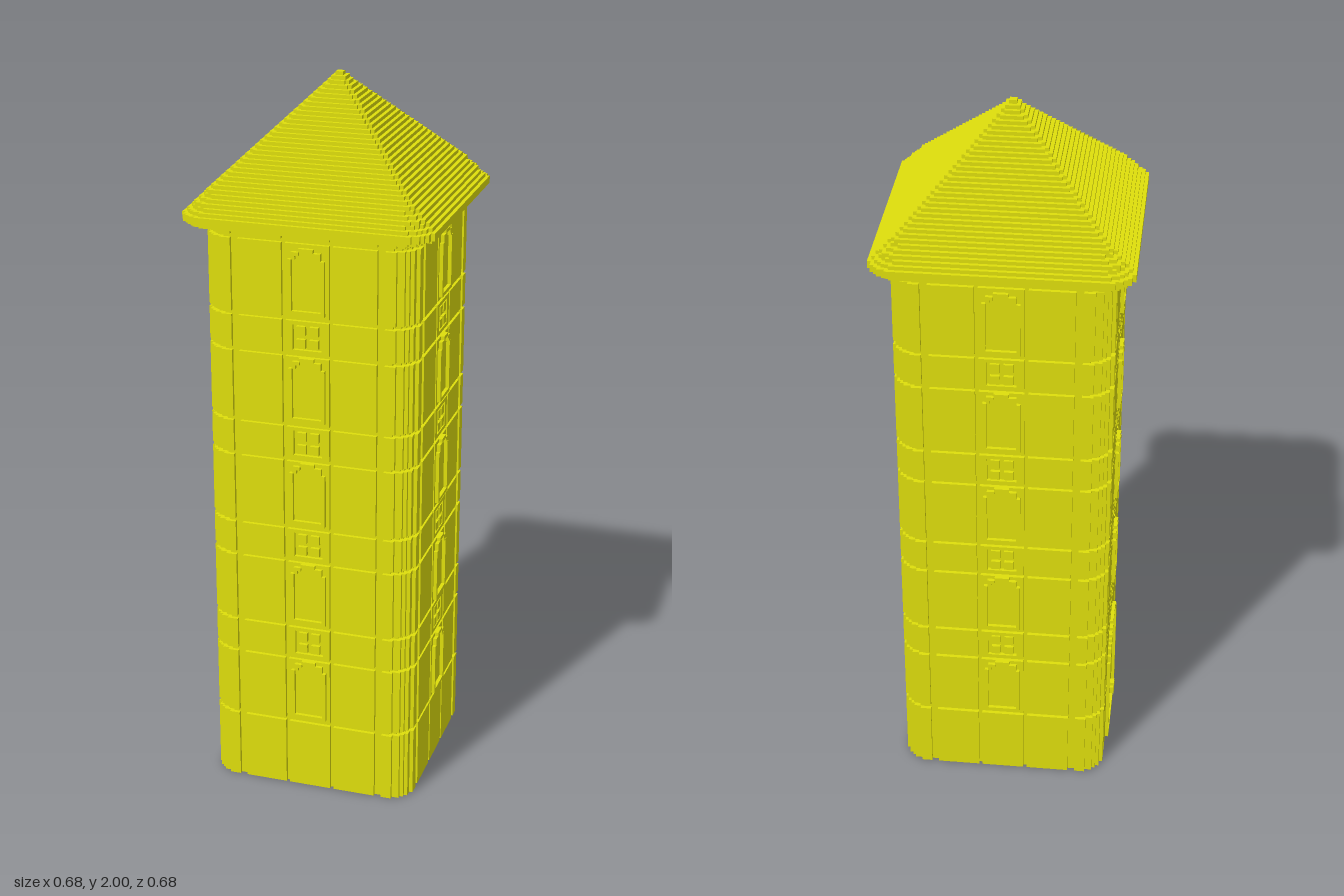
import * as THREE from 'three';

const U = 0.01; // block size
const ROUND = [5, 3, 2, 1, 1]; // stepped round corner, in blocks
const material = new THREE.MeshStandardMaterial({ color: 0xdede0c });

function addMesh(parent, name, geometry) {
  const mesh = new THREE.Mesh(geometry, material);
  mesh.name = name;
  parent.add(mesh);
  return mesh;
}

// Square plan with stepped corners and shallow notches along each side
function plan(h, corner, notches = []) {
  const side = [];
  corner.forEach((c, i) => {
    side.push([h - i * U, h - c * U], [h - (i + 1) * U, h - c * U]);
  });
  side.push([h - corner.length * U, h]);
  for (const [b, a] of notches) side.push([b, h], [b, h - U], [a, h - U], [a, h]);
  const points = [];
  for (let k = 0; k < 4; k++) {
    for (let [x, y] of side) {
      for (let r = 0; r < k; r++) [x, y] = [-y, x];
      points.push(new THREE.Vector2(x, y));
    }
  }
  return new THREE.Shape(points);
}

function slab(shape, y0, y1) {
  const g = new THREE.ExtrudeGeometry(shape, { depth: y1 - y0, bevelEnabled: false });
  return g.rotateX(-Math.PI / 2).translate(0, y0, 0);
}

// Stepped round arch, n blocks to each side of its middle
function archPoints(n, y0, top) {
  const right = [[n * U, y0]];
  const spring = top - n * U;
  let half = n;
  for (let j = 0; j < n; j++) {
    const next = Math.round(Math.sqrt(n * n - (j + 0.5) ** 2));
    if (next < half) {
      right.push([half * U, spring + j * U], [next * U, spring + j * U]);
      half = next;
    }
  }
  right.push([half * U, top]);
  const left = right.map(([x, y]) => [-x, y]).reverse();
  return [...right, ...left].map(([x, y]) => new THREE.Vector2(x, y));
}

function raised(shape, z0, z1) {
  return new THREE.ExtrudeGeometry(shape, { depth: z1 - z0, bevelEnabled: false }).translate(0, 0, z0);
}

function archFrame(n, y0, top, sill) {
  const shape = new THREE.Shape(archPoints(n, y0, top));
  shape.holes.push(new THREE.Path(archPoints(n - 1, y0 + sill, top - U)));
  return raised(shape, 0.28, 0.30);
}

// Pierced panel holding four small lobes
function addOrnament(parent, y) {
  const rect = (w, a, b) => [[w, a], [w, b], [-w, b], [-w, a]].map((p) => new THREE.Vector2(...p));
  const shape = new THREE.Shape(rect(0.06, y - 0.045, y + 0.045));
  shape.holes.push(new THREE.Path(rect(0.04, y - 0.035, y + 0.035)));
  addMesh(parent, 'ornamentPanel', raised(shape, 0.27, 0.29));
  for (const sx of [-1, 1]) {
    for (const sy of [-1, 1]) {
      addMesh(parent, 'ornamentLobe', new THREE.BoxGeometry(0.025, 0.025, 0.02))
        .position.set(sx * 0.018, y + sy * 0.018, 0.28);
    }
  }
}

export function createModel() {
  const tower = new THREE.Group();
  tower.name = 'tower';

  // Core seen in the bottom of the grooves
  addMesh(tower, 'core', slab(plan(0.28, ROUND), 0, 1.64));

  // Wall courses divided by thin grooves
  const outer = [0.21, 0.19];
  const mirror = ([b, a]) => [-a, -b];
  const tall = [outer, [0.07, 0.06], [-0.06, -0.07], mirror(outer)];
  const short = [outer, [0.07, -0.07], mirror(outer)];
  const breaks = [-U, 0.2, 0.4, 0.5, 0.7, 0.8, 1.0, 1.1, 1.3, 1.4, 1.61];
  for (let i = 0; i < breaks.length - 1; i++) {
    const isShort = i > 1 && i % 2 === 0;
    addMesh(tower, isShort ? 'ornamentCourse' : 'wallCourse',
      slab(plan(0.29, ROUND, isShort ? short : tall), breaks[i] + U, breaks[i + 1]));
  }
  addMesh(tower, 'topCourse', slab(plan(0.29, ROUND, tall), 1.62, 1.64));

  // Windows and ornaments on all four sides, the door on one
  for (let k = 0; k < 4; k++) {
    const face = new THREE.Group();
    face.name = 'face';
    face.rotation.y = k * Math.PI / 2;
    tower.add(face);
    const hasDoor = k === 3;
    for (let s = 0; s < 5; s++) {
      const y = 0.22 + s * 0.3;
      if (!(hasDoor && s === 0)) addMesh(face, 'windowFrame', archFrame(5, y, y + 0.18, U));
      if (s < 4) addOrnament(face, y + 0.235);
    }
    if (hasDoor) {
      addMesh(face, 'doorFrame', archFrame(13, 0, 0.37, U));
      addMesh(face, 'doorLeaf', raised(new THREE.Shape(archPoints(12, 0.01, 0.36)), 0.27, 0.291));
      addMesh(face, 'doorKnob', new THREE.BoxGeometry(0.02, 0.04, 0.03)).position.set(-0.085, 0.16, 0.295);
      addMesh(face, 'doorKnob', new THREE.BoxGeometry(0.04, 0.02, 0.03)).position.set(-0.085, 0.16, 0.295);
    }
  }

  // Eaves
  addMesh(tower, 'eavesUnderside', slab(plan(0.33, ROUND), 1.64, 1.65));
  addMesh(tower, 'eaves', slab(plan(0.34, ROUND), 1.65, 1.67));

  // Stepped pyramid roof
  for (let i = 0; i < 33; i++) {
    const corner = i < 2 ? ROUND : i < 5 ? [3, 1, 1] : i < 31 ? [1] : [];
    addMesh(tower, 'roofStep', slab(plan(0.33 - i * U, corner), 1.67 + i * U, 1.68 + i * U));
  }
  return tower;
}
